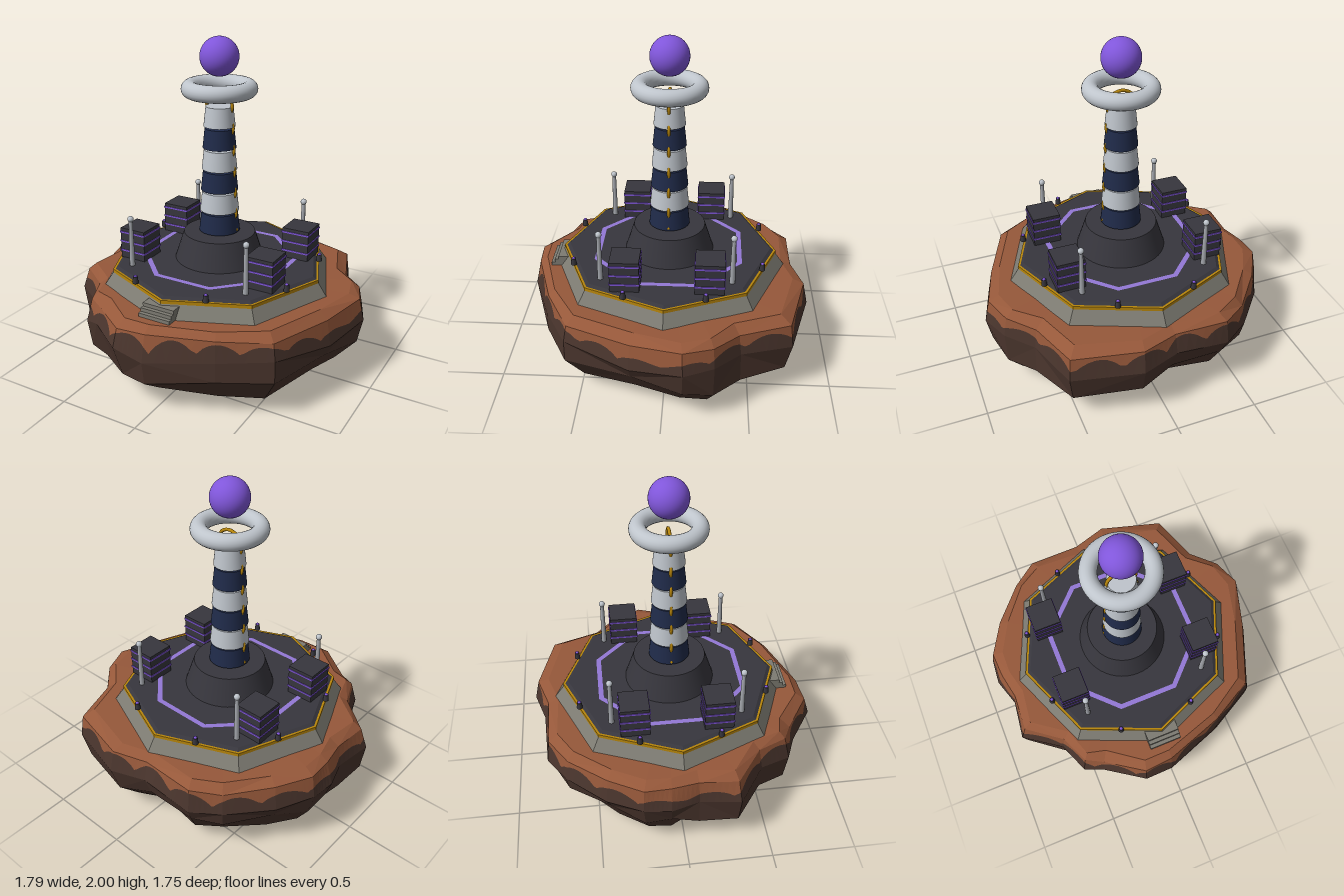
import * as THREE from 'three';

const mat = (name, color) => {
  const m = new THREE.MeshStandardMaterial({ color });
  m.name = name;
  return m;
};

export function createModel() {
  const rust = mat('rust soil', 0x96583a);
  const rock = mat('dark rock', 0x4a352d);
  const dark = mat('charcoal', 0x37363d);
  const navy = mat('navy', 0x202b4a);
  const white = mat('pale metal', 0xbfc5cc);
  const concrete = mat('concrete', 0x7d7b72);
  const gold = mat('gold', 0xb8860b);
  const purple = mat('purple', 0x8056da);
  const lilac = mat('lilac', 0x9378d6);
  const silver = mat('silver', 0xa5a8ae);

  const model = new THREE.Group();
  model.name = 'beaconIsland';
  const station = new THREE.Group();
  station.name = 'station';
  station.position.x = -0.03;
  model.add(station);

  function add(name, geo, material, x = 0, y = 0, z = 0, parent = station) {
    const m = new THREE.Mesh(geo, material);
    m.name = name;
    m.position.set(x, y, z);
    parent.add(m);
    return m;
  }
  const cyl = (rt, rb, h, n = 32) => new THREE.CylinderGeometry(rt, rb, h, n);
  const faceted = (g) => {
    const f = g.toNonIndexed();
    f.computeVertexNormals();
    return f;
  };

  // --- Floating rock: an irregular outline scaled through several levels ---
  let seed = 7;
  const rnd = () => (seed = (seed * 16807) % 2147483647) / 2147483647 - 0.5;
  const outline = [
    [0.155, -0.87], [0.567, -0.757], [0.68, -0.45], [0.83, -0.3], [0.892, -0.12], [0.81, 0.19], [0.65, 0.585],
    [0.36, 0.74], [-0.03, 0.87], [-0.215, 0.88], [-0.45, 0.72], [-0.567, 0.67], [-0.65, 0.49], [-0.87, 0.32],
    [-0.85, 0.08], [-0.895, -0.09], [-0.89, -0.25], [-0.77, -0.455], [-0.57, -0.685], [-0.41, -0.8], [-0.07, -0.8],
  ];
  const level = (y, scale, dy, ds) => outline.map(([x, z]) => {
    const s = scale + rnd() * ds;
    return new THREE.Vector3(x * s, y + rnd() * dy, z * s);
  });
  const centre = (y, n) => Array.from({ length: n }, () => new THREE.Vector3(-0.02, y, 0));
  const STEPS = 12;
  const refine = (ring) => ring.flatMap((p, i) =>
    Array.from({ length: STEPS }, (_, k) => p.clone().lerp(ring[(i + 1) % ring.length], k / STEPS)));

  // Joins rings from bottom to top into flat-shaded faces
  function loft(rings) {
    const pos = [];
    const tri = (...ps) => ps.forEach((p) => pos.push(p.x, p.y, p.z));
    for (let r = 0; r + 1 < rings.length; r++) {
      const a = rings[r], b = rings[r + 1];
      for (let i = 0; i < a.length; i++) {
        const j = (i + 1) % a.length;
        if ((i + r) % 2) { tri(a[i], b[i], a[j]); tri(b[i], b[j], a[j]); }
        else { tri(a[i], b[i], b[j]); tri(a[i], b[j], a[j]); }
      }
    }
    const g = new THREE.BufferGeometry();
    g.setAttribute('position', new THREE.Float32BufferAttribute(pos, 3));
    g.computeVertexNormals();
    return g;
  }

  const foot = level(0.008, 0.6, 0.012, 0.1);
  const low = level(0.09, 0.83, 0.07, 0.08);
  const mid = level(0.21, 0.965, 0.1, 0.06);
  const wide = level(0.36, 0.995, 0.06, 0.02);
  const edge = level(0.495, 0.96, 0.03, 0.02);
  const shelf = level(0.533, 0.9, 0.004, 0.03);
  const wideFine = refine(wide), edgeFine = refine(edge);
  // Scalloped border where the soil drips over the rock, flatter at the sides
  const border = wideFine.map((p, i) => {
    const a = Math.atan2(p.x, p.z);
    const t = 0.3 + 0.6 * Math.abs(Math.sin(a * 10)) ** 0.7 * Math.abs(Math.cos(a)) ** 0.6;
    return p.clone().lerp(edgeFine[i], t);
  });
  add('rockBody', loft([centre(0, foot.length), foot, low, mid, wide]), rock, 0, 0, 0, model);
  add('rockBand', loft([wideFine, border]), rock, 0, 0, 0, model);
  add('soilRim', loft([border, edgeFine]), rust, 0, 0, 0, model);
  add('soilTop', loft([edge, shelf, centre(0.535, edge.length)]), rust, 0, 0, 0, model);

  // --- Octagonal platform ---
  add('foundation', faceted(cyl(0.665, 0.725, 0.085, 8)), concrete, 0, 0.5725);
  add('goldTrim', faceted(cyl(0.67, 0.67, 0.022, 8)), gold, 0, 0.618);
  add('deck', faceted(cyl(0.635, 0.66, 0.016, 8)), dark, 0, 0.634);
  const ring = add('deckStripe', new THREE.RingGeometry(0.458, 0.49, 8, 1, Math.PI / 8), lilac, 0, 0.645);
  ring.rotation.x = -Math.PI / 2;

  // Entry steps at the front
  for (let i = 0; i < 3; i++) {
    const h = 0.022 * (i + 1), front = 0.742 - i * 0.023;
    add('step', new THREE.BoxGeometry(0.205, h, front - 0.6), concrete, 0, 0.535 + h / 2, (front + 0.6) / 2);
  }

  // Small lamps around the deck
  for (let i = 0; i < 8; i++) {
    const a = ((i + 0.5) * Math.PI) / 4;
    const x = 0.62 * Math.sin(a), z = 0.62 * Math.cos(a);
    add('lampBase', cyl(0.014, 0.018, 0.042, 12), dark, x, 0.657, z);
    add('lampDome', new THREE.SphereGeometry(0.011, 12, 8), purple, x, 0.676, z);
  }

  // Equipment crates with glowing bands, and corner masts
  for (const sx of [-1, 1]) {
    for (const sz of [-1, 1]) {
      const x = sx * 0.435, z = sz * 0.246 - 0.012;
      add('crate', new THREE.BoxGeometry(0.172, 0.195, 0.172), dark, x, 0.738, z);
      for (const y of [0.69, 0.75, 0.81]) {
        add('crateBand', new THREE.BoxGeometry(0.18, 0.01, 0.18), purple, x, y, z);
      }
      add('mast', cyl(0.012, 0.017, 0.3, 12), silver, sx * 0.39, 0.79, sz * 0.39);
      add('mastTip', new THREE.SphereGeometry(0.019, 16, 12), white, sx * 0.39, 0.942, sz * 0.39);
    }
  }

  // --- Tower ---
  add('towerBase', cyl(0.22, 0.275, 0.17, 48), dark, 0, 0.727);
  for (let i = 0; i < 6; i++) {
    const r = 0.125 - 0.006 * i;
    add('towerSegment', cyl(r - 0.013, r, 0.119, 40), i % 2 ? white : navy, 0, 0.882 + 0.131 * i);
  }

  // Gold cable weaving in and out of both sides and arching over the top
  const side = [];
  for (let y = 0.83; y < 1.605; y += 0.016) {
    const r = 0.109 - 0.046 * (y - 0.882);
    side.push([r + 0.01 * Math.cos((2 * Math.PI * (y - 0.948)) / 0.131), y]);
  }
  side.push([0.077, 1.635], [0.052, 1.67]);
  const path = [
    ...side.map(([x, y]) => new THREE.Vector3(x, y, 0)),
    new THREE.Vector3(0, 1.688, 0),
    ...side.reverse().map(([x, y]) => new THREE.Vector3(-x, y, 0)),
  ];
  add('cable', new THREE.TubeGeometry(new THREE.CatmullRomCurve3(path), 260, 0.01, 8), gold);

  // Floating halo and orb
  const halo = add('halo', new THREE.TorusGeometry(0.175, 0.05, 20, 64), white, 0, 1.7);
  halo.rotation.x = Math.PI / 2;
  add('orb', new THREE.SphereGeometry(0.115, 40, 28), purple, 0, 1.885);

  return model;
}
